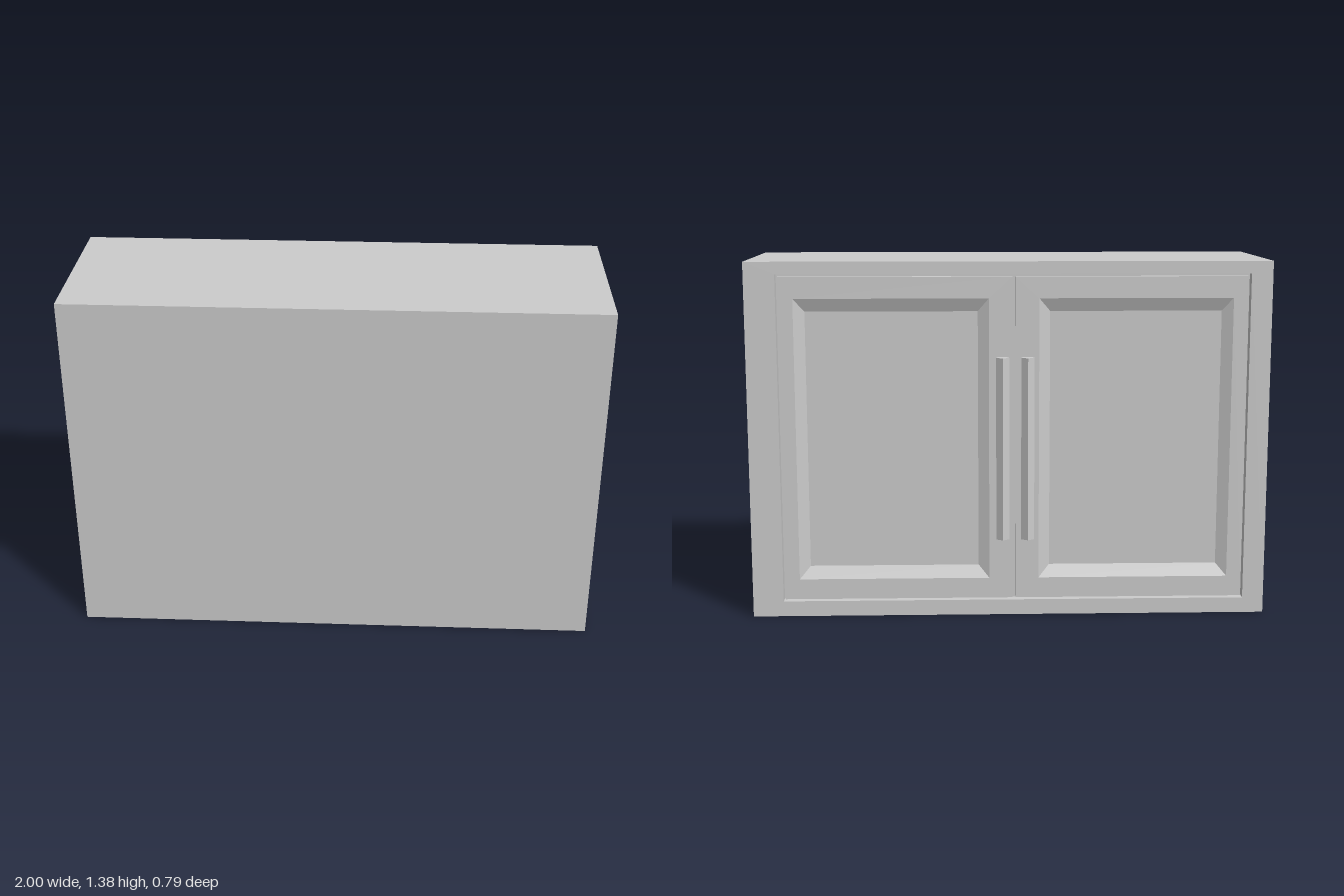
import * as THREE from 'three';

const CX = -0.018;                       // door centre line
const FRONT = -0.256, BACK = 0.396, H = 1.38;
const LIP = 0.04;                        // depth of the opening in the face frame
const HALF = 0.9, Y0 = 0.06, Y1 = 1.333; // opening

// Rectangular loops [x0, x1, y0, y1, z], joined from the rear outwards and capped, facing -z
function loopsGeometry(loops) {
  const corners = loops.map(([x0, x1, y0, y1, z]) => [[x0, y0, z], [x0, y1, z], [x1, y1, z], [x1, y0, z]]);
  const pos = [];
  const quad = (a, b, c, d) => [a, b, c, a, c, d].forEach(p => pos.push(...p));
  for (let k = 0; k + 1 < corners.length; k++) {
    const A = corners[k], B = corners[k + 1];
    for (let i = 0; i < 4; i++) {
      const j = (i + 1) % 4;
      quad(A[i], A[j], B[j], B[i]);
    }
  }
  quad(...corners[corners.length - 1]);
  const geo = new THREE.BufferGeometry();
  geo.setAttribute('position', new THREE.Float32BufferAttribute(pos, 3));
  geo.computeVertexNormals();
  return geo;
}

export function createModel() {
  const model = new THREE.Group();
  const grey = new THREE.MeshStandardMaterial({ color: 0xcccccc, flatShading: true });
  grey.name = 'grey';
  const add = (parent, name, geo, x = 0, y = 0, z = 0) => {
    const mesh = new THREE.Mesh(geo, grey);
    mesh.name = name;
    mesh.position.set(x, y, z);
    parent.add(mesh);
    return mesh;
  };

  // Cabinet body behind the face frame
  const depth = BACK - FRONT - LIP;
  add(model, 'cabinetBody', new THREE.BoxGeometry(2, H, depth), 0, H / 2, BACK - depth / 2);

  // Face frame around the door opening
  const frame = new THREE.Shape([[-1, 0], [1, 0], [1, H], [-1, H]].map(p => new THREE.Vector2(...p)));
  frame.holes.push(new THREE.Path([[CX - HALF, Y0], [CX - HALF, Y1], [CX + HALF, Y1], [CX + HALF, Y0]]
    .map(p => new THREE.Vector2(...p))));
  add(model, 'faceFrame', new THREE.ExtrudeGeometry(frame, { depth: LIP, bevelEnabled: false }), 0, 0, FRONT);

  for (const s of [1, -1]) {
    const side = s > 0 ? 'left' : 'right';

    // Door with a sunken, bevelled panel
    const span = (a, b) => [CX + s * a, CX + s * b].sort((p, q) => p - q);
    const rim = span(0.006, HALF - 0.007), bevel = span(0.096, 0.836), panel = span(0.138, 0.794);
    const face = FRONT + 0.009, yb = Y0 + 0.006, yt = Y1 - 0.011;
    add(model, side + 'Door', loopsGeometry([
      [...rim, yb, yt, FRONT + LIP],
      [...rim, yb, yt, face],
      [...bevel, 0.146, 1.24, face],
      [...panel, 0.195, 1.19, face + 0.02],
    ]));

    // Five-sided bar handle on two posts
    const handle = new THREE.Group();
    handle.name = side + 'Handle';
    handle.position.set(CX + s * 0.047, 0.683, 0);
    model.add(handle);
    add(handle, 'handleBar', new THREE.CylinderGeometry(0.026, 0.026, 0.695, 5).rotateY(Math.PI), 0, 0, -0.371);
    for (const t of [1, -1]) {
      const post = new THREE.CylinderGeometry(0.017, 0.017, 0.125, 5).rotateX(t * Math.PI / 2);
      add(handle, t > 0 ? 'upperPost' : 'lowerPost', post, 0, t * 0.305, -0.3075);
    }
  }
  return model;
}
